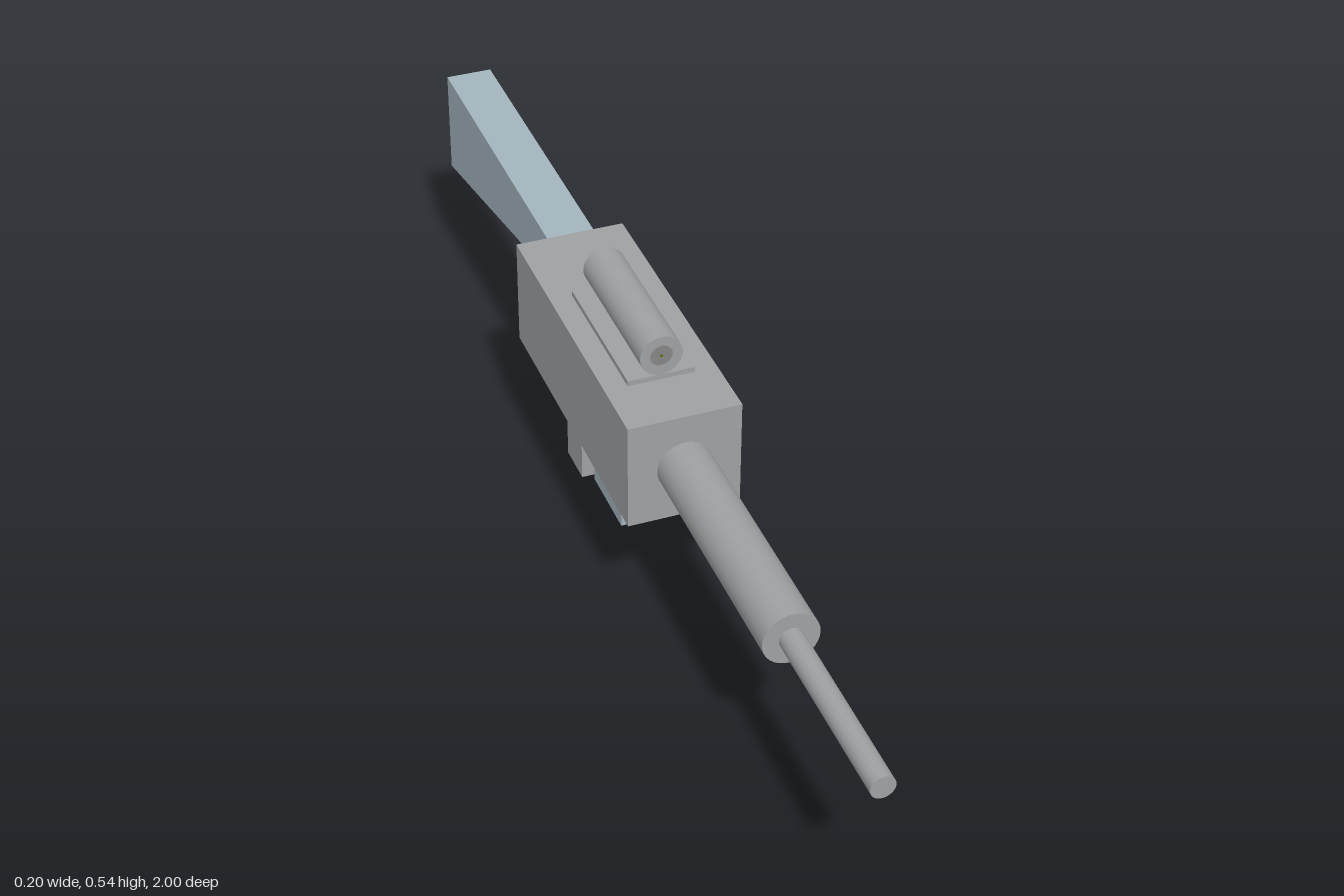
import * as THREE from 'three';

const grey = new THREE.MeshStandardMaterial({ color: 0x9fa1a2 });
const blueGrey = new THREE.MeshStandardMaterial({ color: 0xa4b5be });
const lensGrey = new THREE.MeshStandardMaterial({ color: 0x868686, side: THREE.DoubleSide });
const dotColor = new THREE.MeshStandardMaterial({ color: 0x6a6a10, side: THREE.DoubleSide });

export function createModel() {
  const model = new THREE.Group();
  model.name = 'blockRifle';

  const add = (name, geometry, material) => {
    const mesh = new THREE.Mesh(geometry, material);
    mesh.name = name;
    model.add(mesh);
    return mesh;
  };

  // Box given by its extents on each axis
  const box = (name, [x0, x1], [y0, y1], [z0, z1], material = grey) =>
    add(name, new THREE.BoxGeometry(x1 - x0, y1 - y0, z1 - z0), material)
      .position.set((x0 + x1) / 2, (y0 + y1) / 2, (z0 + z1) / 2);

  // Round bar along z
  const bar = (name, radius, y, z0, z1) => {
    const g = new THREE.CylinderGeometry(radius, radius, z1 - z0, 32).rotateX(Math.PI / 2);
    add(name, g, grey).position.set(0, y, (z0 + z1) / 2);
  };

  // Side profile of [z, y] points, extruded across x
  const profile = (name, points, x0, x1, material) => {
    const shape = new THREE.Shape(points.map(([z, y]) => new THREE.Vector2(-z, y)));
    const g = new THREE.ExtrudeGeometry(shape, { depth: x1 - x0, bevelEnabled: false });
    add(name, g.rotateY(Math.PI / 2).translate(x0, 0, 0), material);
  };

  // Body and barrel
  box('body', [-0.101, 0.101], [0.25, 0.454], [-0.388, 0.195]);
  bar('barrel', 0.049, 0.352, 0.195, 0.655);
  bar('muzzle', 0.021, 0.352, 0.655, 1);

  // Shoulder stock, flaring downward to the rear
  profile('stock', [[-0.388, 0.454], [-0.388, 0.351], [-0.525, 0.351], [-1, 0.251], [-1, 0.454]],
    -0.043, 0.045, blueGrey);

  // Magazine, and grip with a stepped front
  box('magazine', [-0.028, 0.025], [0.048, 0.25], [-0.187, -0.043], blueGrey);
  profile('grip', [[-0.236, 0.25], [-0.236, 0.145], [-0.258, 0.145], [-0.258, 0],
    [-0.339, 0], [-0.339, 0.25]], -0.028, 0.022, grey);

  // Sight: mounting plate and a hollow tube with a lens at the front
  box('sightPlate', [-0.06, 0.06], [0.454, 0.464], [-0.202, 0.083]);
  const ring = new THREE.Shape().absarc(0, 0, 0.038, 0, Math.PI * 2);
  ring.holes.push(new THREE.Path().absarc(0, 0, 0.02, 0, Math.PI * 2, true));
  const tube = new THREE.ExtrudeGeometry(ring, { depth: 0.285, bevelEnabled: false, curveSegments: 32 });
  add('sightTube', tube, grey).position.set(0, 0.502, -0.202);
  add('sightLens', new THREE.CircleGeometry(0.02, 32), lensGrey).position.set(0, 0.502, 0.082);
  add('sightDot', new THREE.CircleGeometry(0.003, 12), dotColor).position.set(0, 0.502, 0.083);

  return model;
}
